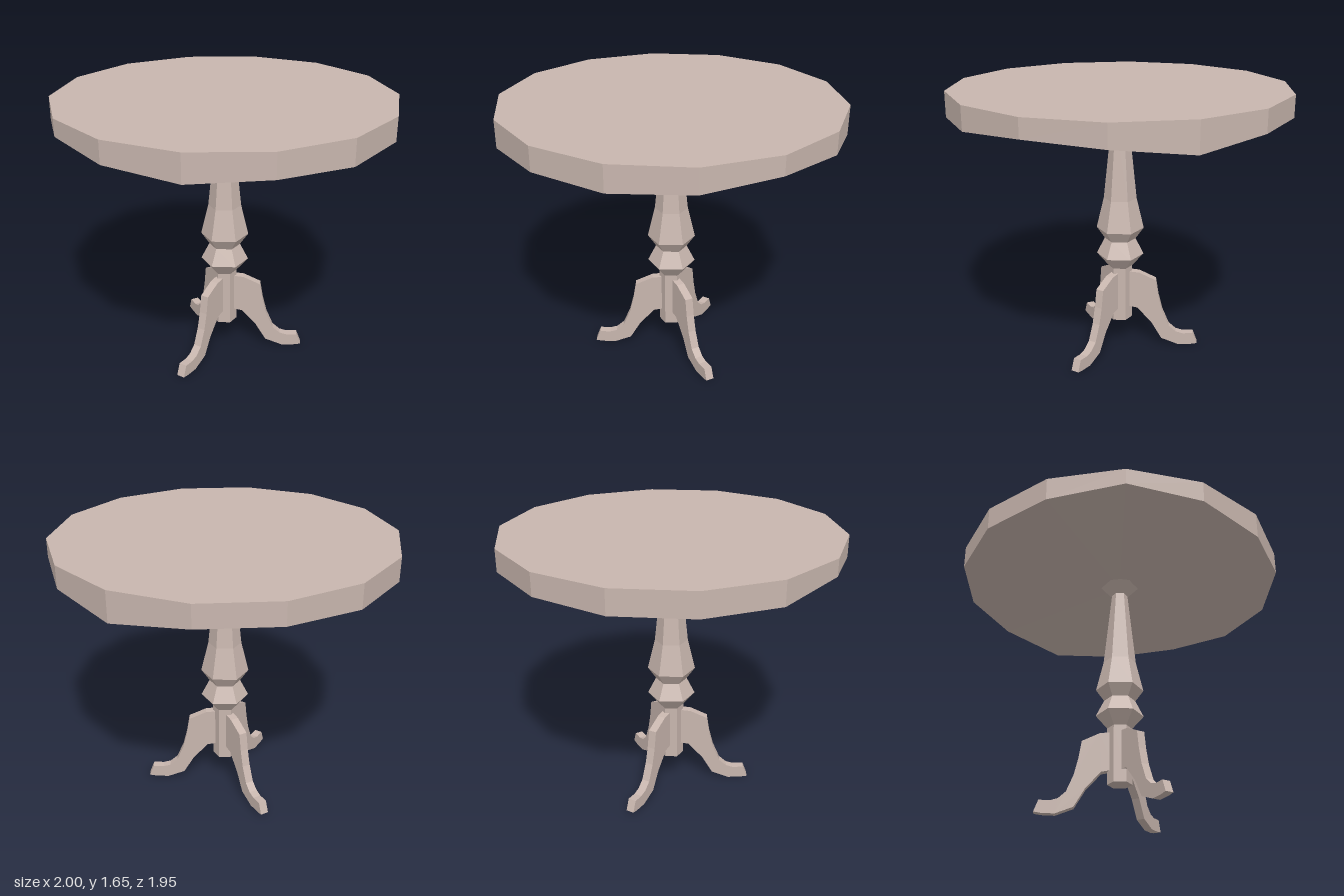
import * as THREE from 'three';

export function createModel() {
  const table = new THREE.Group();
  table.name = 'pedestalTable';
  const wood = new THREE.MeshStandardMaterial({ color: 0xc8b6ae, flatShading: true });
  wood.name = 'pale wood';

  function add(name, geometry) {
    const mesh = new THREE.Mesh(geometry, wood);
    mesh.name = name;
    table.add(mesh);
    return mesh;
  }

  // Tabletop: fourteen-sided disc with an uneven lower rim
  const topY = 1.65, sides = 14;
  const rim = [1.52, 1.475, 1.52, 1.52, 1.51, 1.51, 1.51, 1.55, 1.52, 1.49, 1.51, 1.5, 1.51, 1.54];
  const disc = new THREE.CylinderGeometry(1, 1, 1, sides, 1, false, Math.PI / 2);
  const pos = disc.attributes.position;
  for (let i = 0; i < pos.count; i++) {
    const x = pos.getX(i), z = pos.getZ(i);
    let y = topY;
    if (pos.getY(i) < 0) {
      const step = Math.round(Math.atan2(-z, x) / (2 * Math.PI) * sides);
      y = Math.hypot(x, z) < 0.5 ? 1.51 : rim[(step + sides) % sides];
    }
    pos.setY(i, y);
  }
  disc.computeVertexNormals();
  add('tabletop', disc);

  // Turned column: six-sided, with a flared collar under the top
  const profile = [
    [0, 0.18], [0.075, 0.18], [0.075, 0.53], [0.145, 0.61], [0.095, 0.71],
    [0.145, 0.78], [0.1, 0.97], [0.05, 1.45], [0.13, 1.52],
  ].map(([r, y]) => new THREE.Vector2(r, y));
  add('column', new THREE.LatheGeometry(profile, 6));

  // Three curved legs, one pointing straight back
  const outline = [
    [0.03, 0.5], [0.12, 0.49], [0.225, 0.44], [0.243, 0.33], [0.268, 0.23], [0.31, 0.13],
    [0.355, 0.09], [0.4, 0.077], [0.465, 0.08], [0.492, 0.01], [0.45, 0.003], [0.37, 0],
    [0.265, 0.04], [0.2, 0.15], [0.11, 0.25], [0.03, 0.265],
  ].map(([r, y]) => new THREE.Vector2(r, y));
  const thickness = 0.05;
  const legGeometry = new THREE.ExtrudeGeometry(new THREE.Shape(outline), {
    depth: thickness, bevelEnabled: false,
  });
  legGeometry.translate(0, 0, -thickness / 2);
  ['backLeg', 'rightLeg', 'leftLeg'].forEach((name, i) => {
    add(name, legGeometry).rotation.y = Math.PI / 2 + i * Math.PI * 2 / 3;
  });

  return table;
}
